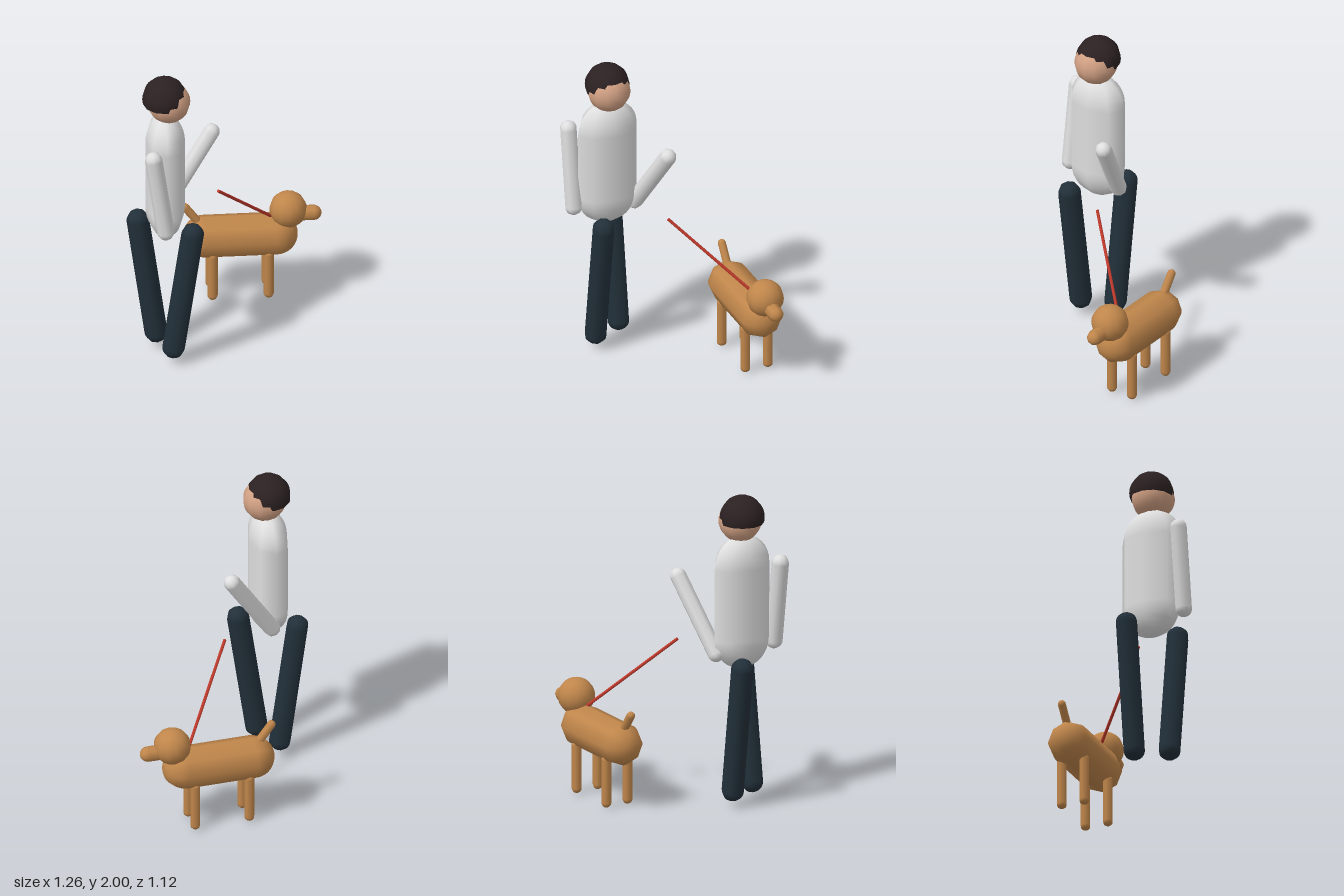
import * as THREE from 'three';

const mat = (name, color, extra = {}) => {
  const m = new THREE.MeshStandardMaterial({ color, ...extra });
  m.name = name;
  return m;
};

export function createModel() {
  const shirt = mat('light grey shirt', 0xdedede);
  const trousers = mat('dark navy trousers', 0x22303a);
  const skin = mat('skin', 0xd2a184);
  const hairDark = mat('dark brown hair', 0x2c2122, { side: THREE.DoubleSide });
  const fur = mat('tan fur', 0xc0864b);
  const red = mat('red leash', 0xc0392b);

  const model = new THREE.Group();
  model.name = 'dogWalker';
  const person = new THREE.Group();
  person.name = 'person';
  const dog = new THREE.Group();
  dog.name = 'dog';
  model.add(person, dog);

  const add = (parent, name, geometry, material) => {
    const mesh = new THREE.Mesh(geometry, material);
    mesh.name = name;
    parent.add(mesh);
    return mesh;
  };

  // Place a mesh built along y so that it runs from point a to point b
  const UP = new THREE.Vector3(0, 1, 0);
  const span = (parent, name, a, b, radius, material, round = true) => {
    const p = new THREE.Vector3(...a), q = new THREE.Vector3(...b);
    const dir = q.clone().sub(p);
    const length = dir.length();
    const geometry = round
      ? new THREE.CapsuleGeometry(radius, length, 8, 8)
      : new THREE.CylinderGeometry(radius, radius, length, 8);
    const mesh = add(parent, name, geometry, material);
    mesh.position.copy(p).add(q).multiplyScalar(0.5);
    mesh.quaternion.setFromUnitVectors(UP, dir.normalize());
    return mesh;
  };

  // Torso: capsule flattened front to back (the person faces +x)
  const torso = span(person, 'torso', [-0.4, 1.08, 0.275], [-0.4, 1.54, 0.275], 0.2, shirt);
  torso.scale.x = 0.62;

  // Head and a slightly raised hair cap
  add(person, 'head', new THREE.SphereGeometry(0.135, 12, 16), skin).position.set(-0.378, 1.833, 0.275);
  add(person, 'hair', new THREE.SphereGeometry(0.14, 12, 16, 0, Math.PI * 2, 0, Math.PI * 0.58), hairDark)
    .position.set(-0.403, 1.86, 0.275);

  // Arms
  span(person, 'rightArm', [-0.415, 1.025, 0.5], [-0.49, 1.545, 0.5], 0.055, shirt);
  span(person, 'leftArm', [-0.375, 0.99, 0.1], [-0.09, 1.435, 0.003], 0.053, shirt);

  // Striding legs
  span(person, 'leftLeg', [-0.45, 0.107, 0.177], [-0.562, 0.922, 0.177], 0.071, trousers);
  span(person, 'rightLeg', [-0.355, 0.107, 0.376], [-0.237, 0.922, 0.376], 0.071, trousers);

  // Dog body, head, snout and tail
  const z = -0.425;
  span(dog, 'body', [-0.097, 0.415, z], [0.347, 0.415, z], 0.137, fur);
  add(dog, 'dogHead', new THREE.SphereGeometry(0.117, 12, 16), fur).position.set(0.424, 0.587, z);
  span(dog, 'snout', [0.45, 0.555, z], [0.583, 0.555, z], 0.049, fur);
  span(dog, 'tail', [-0.11, 0.485, z], [-0.218, 0.63, z], 0.027, fur);

  // Dog legs
  for (const [end, x] of [['front', 0.297], ['back', -0.053]]) {
    for (const [side, dz] of [['Right', 0.077], ['Left', -0.077]]) {
      span(dog, `${end}${side}Leg`, [x, 0.032, z + dz], [x, 0.31, z + dz], 0.032, fur);
    }
  }

  // Taut leash
  span(model, 'leash', [-0.048, 1.012, 0.022], [0.315, 0.548, -0.415], 0.01, red, false);

  return model;
}
